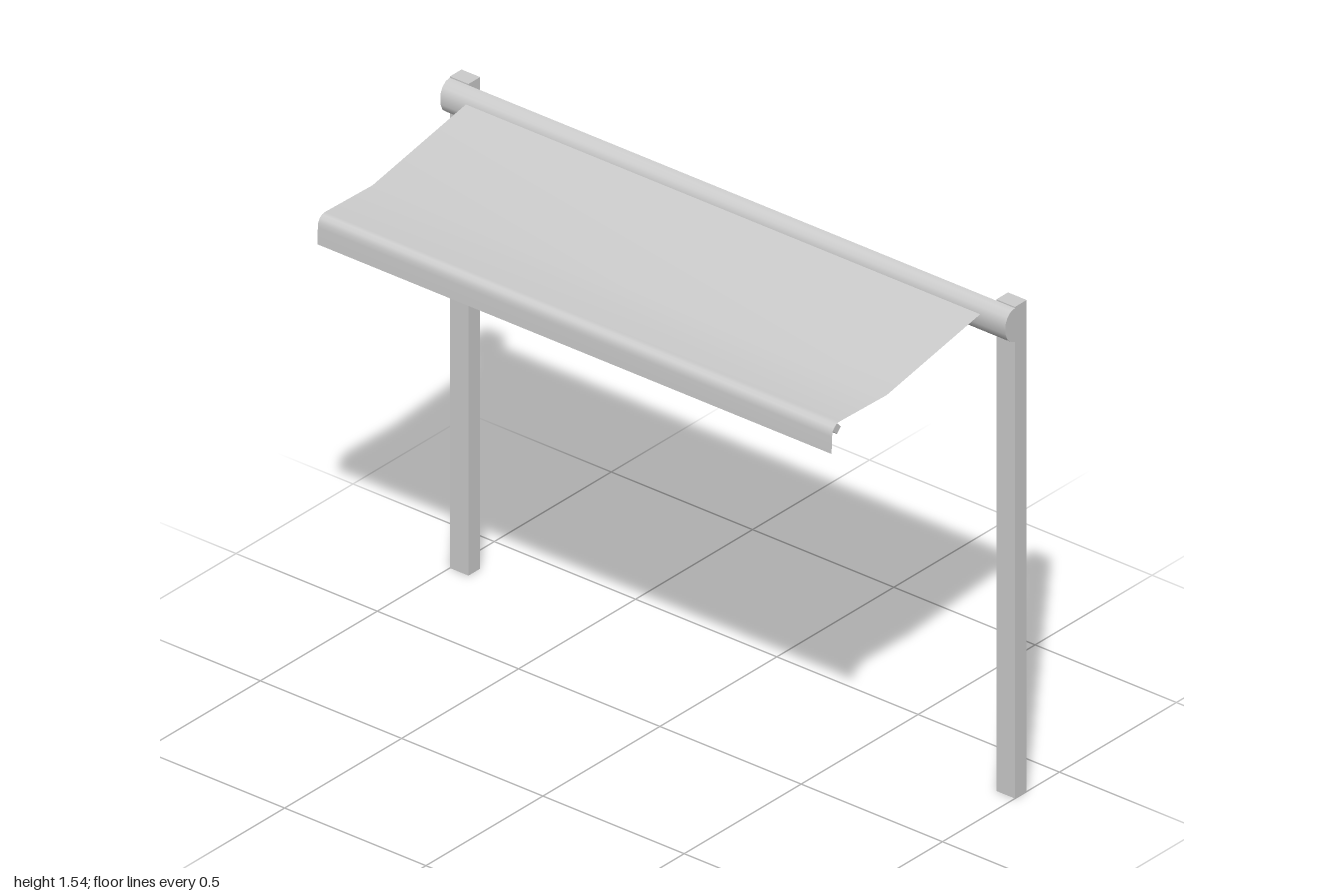
import * as THREE from 'three';
import { toCreasedNormals } from 'three/addons/utils/BufferGeometryUtils.js';

const grey = new THREE.MeshStandardMaterial({ color: 0xcccccc });
const greyDouble = new THREE.MeshStandardMaterial({ color: 0xcccccc, side: THREE.DoubleSide });

export function createModel() {
  const group = new THREE.Group();
  const add = (name, geometry, material = grey) => {
    const mesh = new THREE.Mesh(geometry, material);
    mesh.name = name;
    group.add(mesh);
    return mesh;
  };

  // Two square posts
  for (const side of [1, -1]) {
    const post = add(side > 0 ? 'frontPost' : 'backPost', new THREE.BoxGeometry(0.05, 1.54, 0.066));
    post.position.set(0.335, 0.77, side * 0.967);
  }

  // Half-round roller housing: flat against the posts, rounded outwards
  const profile = [
    [0.31, 1.43], [0.31, 1.536], [0.293, 1.533], [0.278, 1.52],
    [0.27, 1.503], [0.27, 1.47], [0.279, 1.449], [0.295, 1.436],
  ].map(([x, y]) => new THREE.Vector2(x, y));
  const housing = new THREE.ExtrudeGeometry(new THREE.Shape(profile), { depth: 2, bevelEnabled: false });
  housing.translate(0, 0, -1);
  add('rollerHousing', toCreasedNormals(housing, 0.8));

  // Thin fabric: slopes down, levels out, then folds over the bar into a valance
  const section = [
    [0.285, 1.505], [-0.129, 1.423], [-0.332, 1.428], [-0.345, 1.426],
    [-0.355, 1.419], [-0.361, 1.408], [-0.363, 1.393], [-0.365, 1.341],
  ];
  const cloth = new THREE.PlaneGeometry(1, 1, section.length - 1, 1);
  const pos = cloth.attributes.position;
  for (let i = 0; i < pos.count; i++) {
    const [x, y] = section[i % section.length];
    pos.setXYZ(i, x, y, i < section.length ? 0.91 : -0.91);
  }
  cloth.computeVertexNormals();
  add('canopyFabric', cloth, greyDouble);

  // Four-sided front bar under the fabric fold
  const bar = add('frontBar', new THREE.CylinderGeometry(0.017, 0.017, 1.81, 4));
  bar.rotation.x = Math.PI / 2;
  bar.position.set(-0.336, 1.406, 0);

  return group;
}
